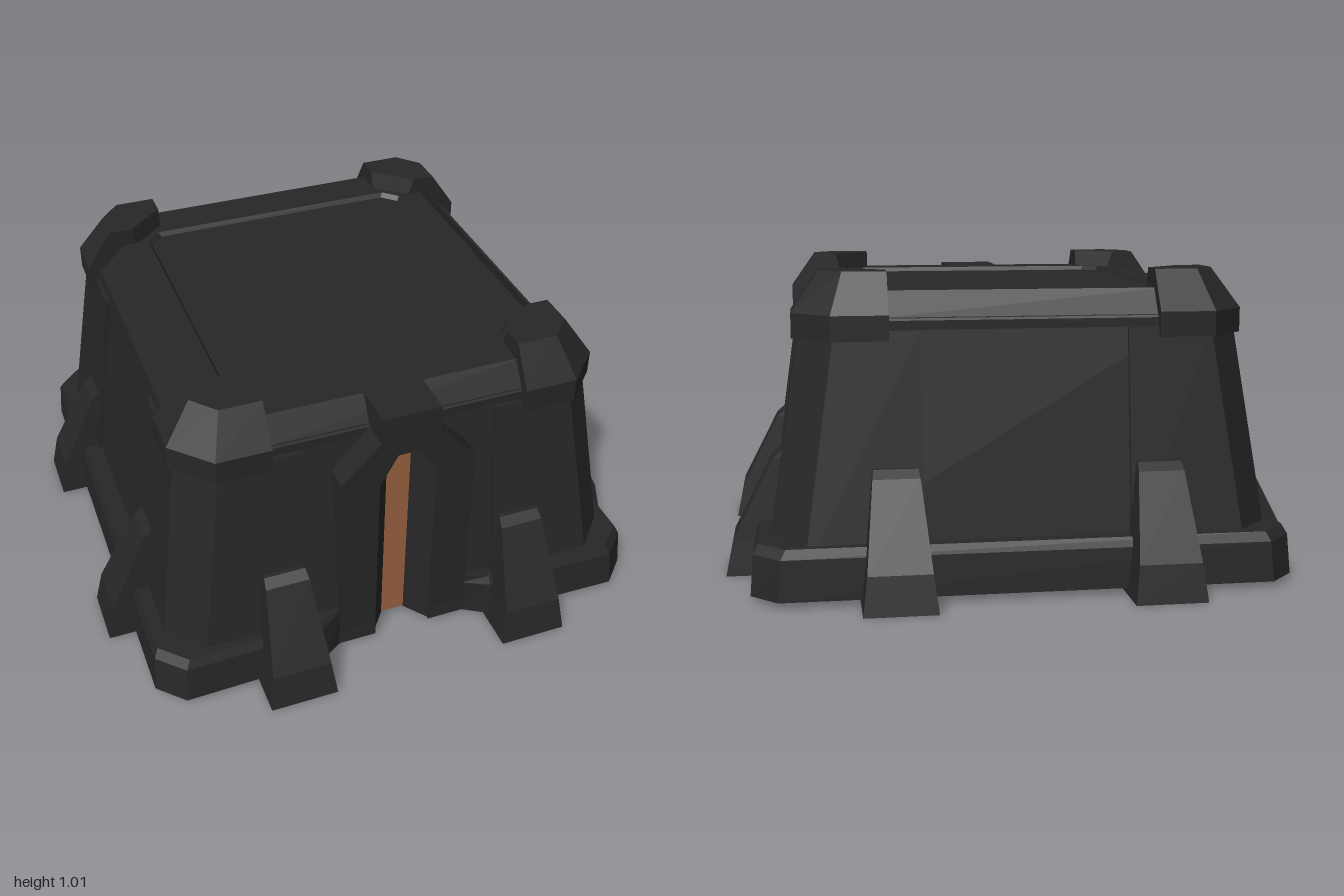
import * as THREE from 'three';

const dark = new THREE.MeshStandardMaterial({ color: 0x272727, flatShading: true });
dark.name = 'charcoal armour';
const copper = new THREE.MeshStandardMaterial({ color: 0x9a6240, flatShading: true });
copper.name = 'copper door';

// Closed solid through plan outlines: rings = [[y, [[x, z], ...]], ...] from bottom to top
function loft(rings) {
  const area = (p) => p.reduce((s, [x, z], i) => {
    const [u, v] = p[(i + 1) % p.length];
    return s + z * u - x * v;
  }, 0);
  const flip = area(rings[0][1]) < 0;
  const levels = rings.map(([y, p]) => (flip ? [...p].reverse() : p).map(([x, z]) => [x, y, z]));
  const pos = [];
  const tri = (a, b, c) => pos.push(...a, ...b, ...c);
  for (let k = 0; k < levels.length - 1; k++) {
    const lo = levels[k], hi = levels[k + 1];
    lo.forEach((a, i) => {
      const j = (i + 1) % lo.length;
      tri(a, lo[j], hi[j]);
      tri(a, hi[j], hi[i]);
    });
  }
  const cap = (level, up) => {
    const flat = level.map(([x, , z]) => new THREE.Vector2(x, -z));
    for (const [a, b, c] of THREE.ShapeUtils.triangulateShape(flat, [])) {
      const ccw = THREE.ShapeUtils.area([flat[a], flat[b], flat[c]]) > 0;
      if (ccw === up) tri(level[a], level[b], level[c]);
      else tri(level[a], level[c], level[b]);
    }
  };
  cap(levels[0], false);
  cap(levels[levels.length - 1], true);
  const g = new THREE.BufferGeometry();
  g.setAttribute('position', new THREE.Float32BufferAttribute(pos, 3));
  g.computeVertexNormals();
  return g;
}

// Mirror a half outline (front to back, x > 0) to a full one
const both = (half) => [...half, ...[...half].reverse().map(([x, z]) => [-x, z])];

// Rectangle with cut corners, plus optional front points replacing the front edge
const plan = (x, z, c, front = []) => both([
  ...front, [x - c, z], [x, z - c], [x, c - z], [x - c, -z],
]);

export function createModel() {
  const model = new THREE.Group();
  const add = (name, geometry, material = dark, parent = model) => {
    const mesh = new THREE.Mesh(geometry, material);
    mesh.name = name;
    parent.add(mesh);
    return mesh;
  };

  // Sloping walls with a slot for the door
  const wall = (y, x, z) => [y, plan(x, z, 0.14, [[0.1, Math.min(0.72, z - 0.005)], [0.1, z]])];
  add('walls', loft([wall(0.03, 0.81, 0.825), wall(0.17, 0.79, 0.81), wall(0.87, 0.69, 0.72)]));

  // Low skirt around the foot, stepping back beside the door
  const skirt = (y, d) => [y, plan(0.87 - d, 0.88 - d, 0.085,
    [[0.1, 0.72], [0.1, 0.815], [0.22, 0.815], [0.31, 0.87 - d]])];
  add('skirt', loft([skirt(0.02, 0), skirt(0.15, 0.01), skirt(0.18, 0.025)]));

  // Bevelled roof rim around a slightly sunken panel
  add('roof', loft([
    [0.82, plan(0.69, 0.725, 0.14)],
    [0.86, plan(0.69, 0.725, 0.14)],
    [0.95, plan(0.59, 0.665, 0.12)],
    [0.95, plan(0.5, 0.52, 0.05)],
    [0.935, plan(0.49, 0.51, 0.05)],
  ]));

  // Corner pillars and their caps
  const pillar = (x, z) => [[0.33, z], [x - 0.11, z], [x, z - 0.12], [x, 0.3], [0.33, 0.3]];
  const capFoot = [[0.43, 0.755], [0.61, 0.755], [0.73, 0.63], [0.73, 0.47], [0.52, 0.47], [0.43, 0.55]];
  const capTop = [[0.43, 0.67], [0.57, 0.67], [0.64, 0.59], [0.64, 0.47], [0.56, 0.47], [0.43, 0.585]];
  for (const sx of [1, -1]) {
    for (const sz of [1, -1]) {
      const place = (p) => p.map(([x, z]) => [x * sx, z * sz]);
      const side = `${sz > 0 ? 'front' : 'back'}${sx > 0 ? 'Left' : 'Right'}`;
      add(`${side}Pillar`, loft([
        [0.1, place(pillar(0.815, 0.835))],
        [0.83, place(pillar(0.71, 0.738))],
      ]));
      add(`${side}Cap`, loft([[0.8, place(capFoot)], [0.88, place(capFoot)], [1.01, place(capTop)]]));
    }
  }

  // Tapered buttresses, two on each side
  const brace = (y, d, w) => [y, [[-w, d], [w, d], [w, 0.6], [-w, 0.6]]];
  const buttress = loft([
    brace(0, 1, 0.115), brace(0.12, 0.975, 0.1), brace(0.385, 0.84, 0.074), brace(0.41, 0.81, 0.07),
  ]);
  for (let i = 0; i < 4; i++) {
    const group = new THREE.Group();
    group.name = ['front', 'left', 'back', 'right'][i] + 'Buttresses';
    group.rotation.y = i * Math.PI / 2;
    for (const s of [1, -1]) {
      const mesh = add('buttress', buttress, dark, group);
      mesh.position.set(s * (i % 2 ? 0.405 : 0.418), 0, i % 2 ? -0.04 : 0);
      if (i % 2) mesh.scale.x = 0.9;
    }
    model.add(group);
  }

  // Upright door frame with a pointed opening and a neck to the roof
  const half = [[0.04, 0.8], [0.1, 0.69], [0.1, 0.02], [0.23, 0.02], [0.23, 0.73], [0.1, 0.86], [0.1, 0.953]];
  const arch = new THREE.Shape(both(half).map(([x, y]) => new THREE.Vector2(x, y)));
  const frame = new THREE.ExtrudeGeometry(arch, { depth: 0.2, bevelEnabled: false });
  frame.translate(0, 0, 0.62);
  add('doorFrame', frame);

  // Splayed jambs leading back to the narrow door
  for (const s of [1, -1]) {
    const jamb = [[0.1, 0.81], [0.1, 0.7], [0.042, 0.7], [0.042, 0.735]].map(([x, z]) => [x * s, z]);
    add(s > 0 ? 'leftJamb' : 'rightJamb', loft([[0.02, jamb], [0.78, jamb]]));
  }
  const door = add('door', new THREE.BoxGeometry(0.1, 0.76, 0.009), copper);
  door.position.set(0, 0.4, 0.727);
  const lintel = add('lintel', new THREE.BoxGeometry(0.12, 0.05, 0.06));
  lintel.position.set(0, 0.805, 0.74);

  return model;
}
